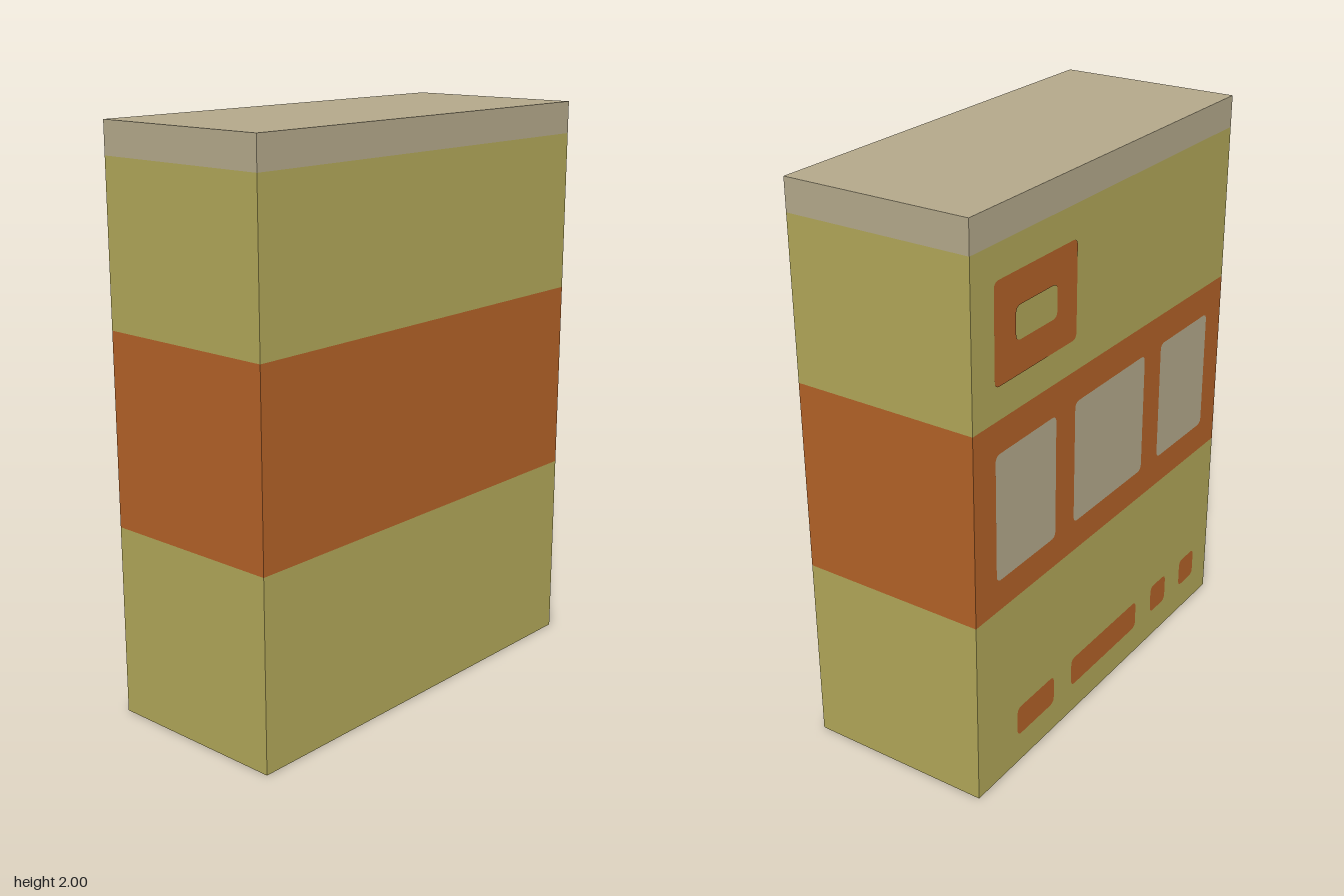
import * as THREE from 'three';

const U = 1 / 9; // layout unit: the block is 14 wide, 18 high, 6 deep
const W = 14, D = 6;

const mat = (name, color) => {
  const m = new THREE.MeshStandardMaterial({ color });
  m.name = name;
  return m;
};

// Rounded rectangle spanning columns u0..u1 (from the left edge) and rows v0..v1
function roundedRect(path, u0, u1, v0, v1, r = 0.22) {
  const [x0, x1, y0, y1] = [u0 - W / 2, u1 - W / 2, v0, v1].map((n) => n * U);
  const c = r * U;
  path.moveTo(x0 + c, y0);
  path.lineTo(x1 - c, y0).quadraticCurveTo(x1, y0, x1, y0 + c);
  path.lineTo(x1, y1 - c).quadraticCurveTo(x1, y1, x1 - c, y1);
  path.lineTo(x0 + c, y1).quadraticCurveTo(x0, y1, x0, y1 - c);
  path.lineTo(x0, y0 + c).quadraticCurveTo(x0, y0, x0 + c, y0);
  return path;
}

export function createModel() {
  const olive = mat('olive', 0xb0a658);
  const orange = mat('burntOrange', 0xb26127);
  const grey = mat('warmGrey', 0xb3a88a);

  const model = new THREE.Group();
  model.name = 'block';

  // Stacked body bands
  const bands = [
    ['lowerBody', olive, 0, 6],
    ['middleBand', orange, 6, 12],
    ['upperBody', olive, 12, 17],
    ['topCap', grey, 17, 18],
  ];
  for (const [name, material, v0, v1] of bands) {
    const mesh = new THREE.Mesh(new THREE.BoxGeometry(W * U, (v1 - v0) * U, D * U), material);
    mesh.name = name;
    mesh.position.y = ((v0 + v1) / 2) * U;
    model.add(mesh);
  }

  // Painted panels on the back face, laid out as seen from behind
  const back = new THREE.Group();
  back.name = 'backPanels';
  back.rotation.y = Math.PI;
  model.add(back);

  const addPanel = (name, material, rect, hole) => {
    const shape = roundedRect(new THREE.Shape(), ...rect);
    if (hole) shape.holes.push(roundedRect(new THREE.Path(), ...hole));
    const mesh = new THREE.Mesh(new THREE.ShapeGeometry(shape, 6), material);
    mesh.name = name;
    mesh.position.z = (D / 2) * U + 0.002;
    back.add(mesh);
  };

  // Framed square near the top
  addPanel('frame', orange, [1, 5, 13, 16], [2, 4, 14, 15]);
  // Three windows in the middle band
  for (const [u0, u1] of [[1, 4], [5, 9], [10, 13]]) addPanel('window', grey, [u0, u1, 7, 11]);
  // Row of small slots near the base
  for (const [u0, u1] of [[2, 4], [5, 9], [10, 11], [12, 13]]) addPanel('slot', orange, [u0, u1, 1, 2]);

  return model;
}
